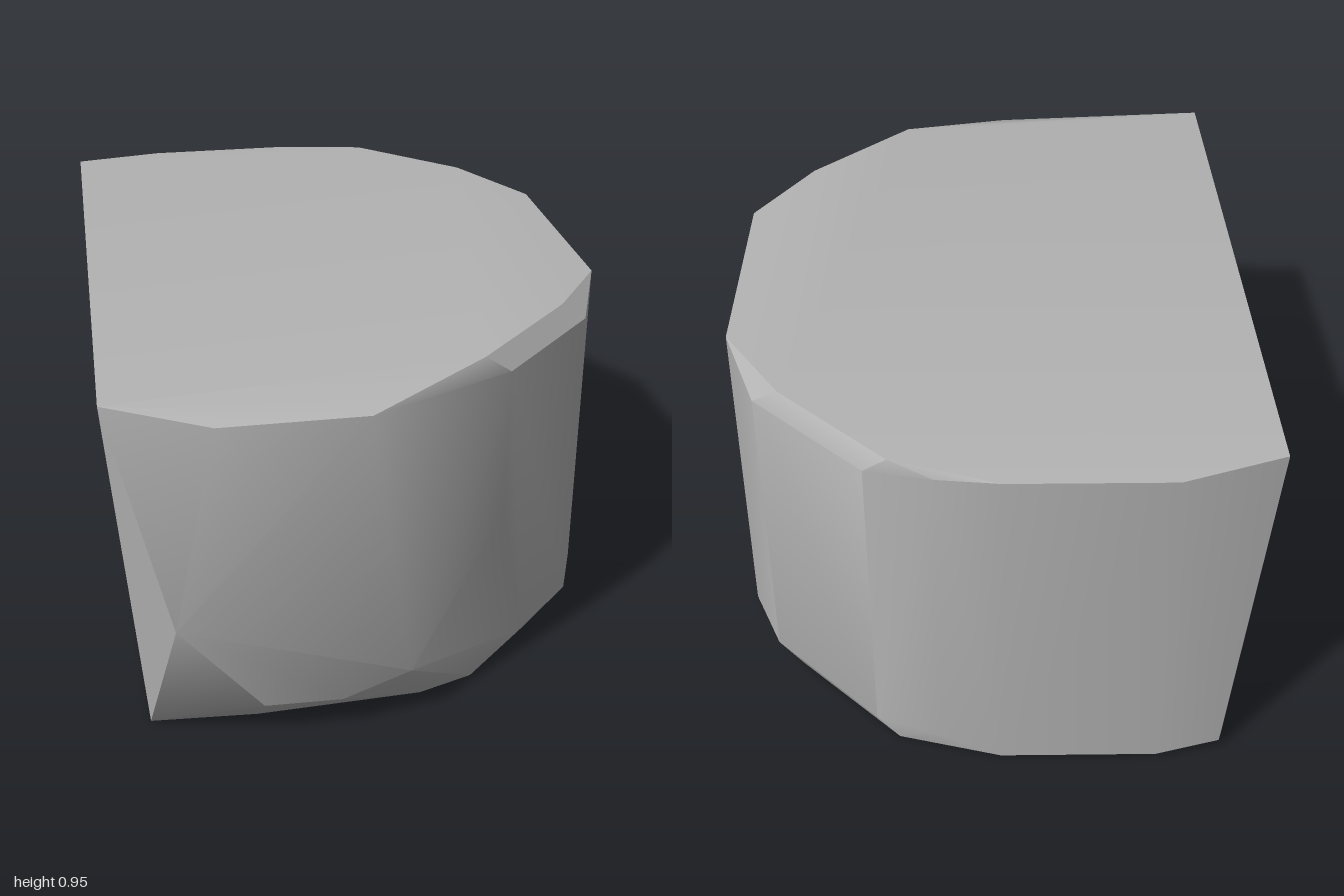
import * as THREE from 'three';
import { toCreasedNormals } from 'three/addons/utils/BufferGeometryUtils.js';
import { ConvexGeometry } from 'three/addons/geometries/ConvexGeometry.js';

export function createModel() {
  const model = new THREE.Group();
  model.name = 'roundedBlock';
  const grey = new THREE.MeshStandardMaterial({ color: 0xb3b3b3 });
  grey.name = 'stone grey';

  const points = [];
  const add = (x, y, z) => points.push(new THREE.Vector3(x, y, z));

  // Outline corners [x, z] shared by the upper and lower rims
  const rim = [[0.25, -0.92], [0.53, -0.65], [0.53, 0.5], [0.25, 0.78]];
  const flatSide = [[0.69, -0.39], [0.69, 0.26]];
  const backWall = [[-0.43, -1], [-0.02, -1]];
  const chamfer = [[0.6, -0.62], [0.31, -0.9], [0.6, 0.49], [0.32, 0.77]];
  for (const [x, z] of rim) { add(x, 0.955, z); add(x, 0, z); }
  for (const [x, z] of flatSide) { add(x, 0.943, z); add(x, 0.013, z); }
  for (const [x, z] of backWall) { add(x, 0.945, z); add(x, 0.012, z); }
  for (const [x, z] of chamfer) add(x, 0.905, z);
  for (const [x, z] of [[0.6, -0.62], [0.31, -0.9], [0.14, -0.965], [0.6, 0.49], [0.42, 0.67]]) add(x, 0.055, z);
  add(0.14, 0.93, -0.965);

  // Long sloping cut face
  add(-0.69, 0.955, 0.89);
  add(-0.69, 0.955, -0.92);
  add(-0.615, 0, 0.83);
  add(-0.615, 0, -0.92);
  add(-0.6, 0.03, -0.97);

  // Chipped front face
  add(-0.545, 0.39, 1);
  add(-0.43, 0.905, 0.945);
  add(-0.06, 0.905, 0.945);
  add(-0.33, 0.105, 0.95);
  add(-0.13, 0.1, 0.95);
  add(0.05, 0.16, 0.94);
  add(0.32, 0.5, 0.77);
  add(-0.34, 0.01, 0.86);
  add(0.1, 0, 0.83);

  const block = new THREE.Mesh(toCreasedNormals(new ConvexGeometry(points), 0.52), grey);
  block.name = 'block';
  model.add(block);
  return model;
}
